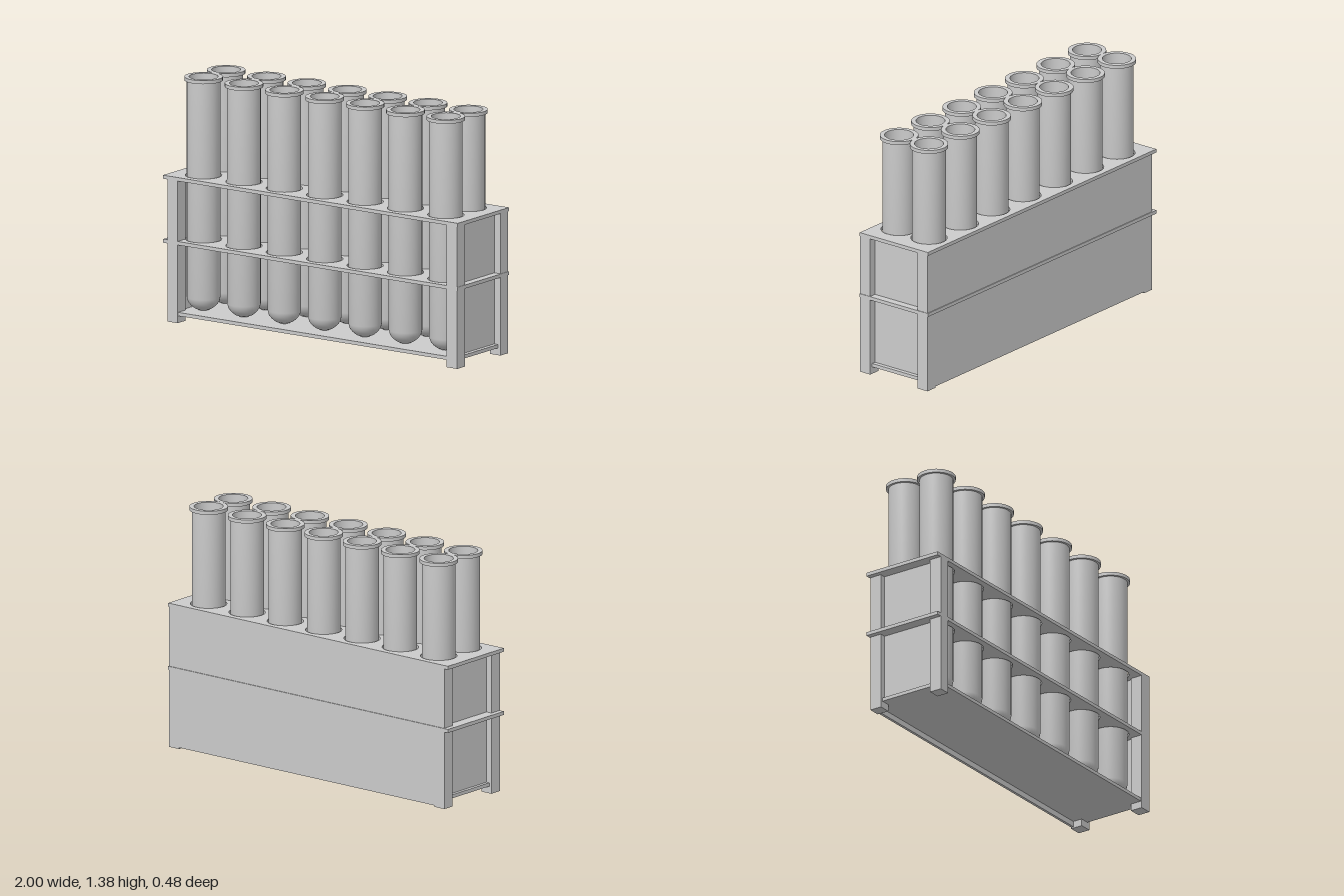
import * as THREE from 'three';
import { toCreasedNormals } from 'three/addons/utils/BufferGeometryUtils.js';

const COLUMNS = 7, SPACING = 0.274, ROW_Z = 0.105, HOLE_R = 0.1;
const material = new THREE.MeshStandardMaterial({ color: 0xcccccc });

// Centres of all the tubes, as [x, z]
const places = [];
for (let i = 0; i < COLUMNS; i++)
  for (const z of [-ROW_Z, ROW_Z]) places.push([(i - (COLUMNS - 1) / 2) * SPACING, z]);

function add(parent, name, geometry) {
  const mesh = new THREE.Mesh(geometry, material);
  mesh.name = name;
  parent.add(mesh);
  return mesh;
}

// Box given by its extents on each axis
function addBox(parent, name, [x0, x1], [y0, y1], [z0, z1]) {
  add(parent, name, new THREE.BoxGeometry(x1 - x0, y1 - y0, z1 - z0))
    .position.set((x0 + x1) / 2, (y0 + y1) / 2, (z0 + z1) / 2);
}

// Shelf board pierced by a hole for every tube
function shelfGeometry() {
  const shape = new THREE.Shape();
  shape.moveTo(-1, -0.24).lineTo(1, -0.24).lineTo(1, 0.24).lineTo(-1, 0.24).closePath();
  for (const [x, z] of places)
    shape.holes.push(new THREE.Path().absarc(x, -z, HOLE_R, 0, Math.PI * 2, true));
  return new THREE.ExtrudeGeometry(shape, { depth: 0.02, bevelEnabled: false, curveSegments: 32 })
    .rotateX(-Math.PI / 2);
}

// Hollow tube: rounded bottom, straight wall, flat lip, then the inside back down
function tubeGeometry() {
  const profile = [
    [0, 0.06], [0.025, 0.062], [0.05, 0.073], [0.071, 0.09], [0.086, 0.11], [0.0925, 0.135],
    [0.0925, 1.355], [0.106, 1.355], [0.106, 1.375], [0.08, 1.375],
    [0.08, 0.138], [0.074, 0.118], [0.061, 0.1], [0.043, 0.085], [0.022, 0.075], [0, 0.073],
  ].map(([r, y]) => new THREE.Vector2(r, y));
  return toCreasedNormals(new THREE.LatheGeometry(profile, 32), Math.PI / 5);
}

export function createModel() {
  const model = new THREE.Group();
  model.name = 'testTubeRack';

  const rack = new THREE.Group();
  rack.name = 'rack';
  model.add(rack);

  // Corner posts
  for (const x of [[-0.97, -0.9], [0.925, 0.997]])
    for (const z of [[0.168, 0.24], [-0.235, -0.164]]) addBox(rack, 'cornerPost', x, [0, 0.8], z);

  // Shelves and floor
  const shelf = shelfGeometry();
  add(rack, 'topShelf', shelf).position.y = 0.8;
  add(rack, 'middleShelf', shelf).position.y = 0.44;
  addBox(rack, 'floorBoard', [-0.955, 0.98], [0.04, 0.06], [-0.225, 0.235]);

  // Back and end panels
  addBox(rack, 'backPanel', [-0.9, 0.925], [0.008, 0.8], [-0.235, -0.22]);
  for (const x of [[-0.935, -0.92], [0.94, 0.955]])
    addBox(rack, 'endPanel', x, [0.05, 0.8], [-0.164, 0.168]);

  // Tubes
  const tubes = new THREE.Group();
  tubes.name = 'tubes';
  model.add(tubes);
  const tube = tubeGeometry();
  for (const [x, z] of places) add(tubes, 'testTube', tube).position.set(x, 0, z);

  return model;
}
